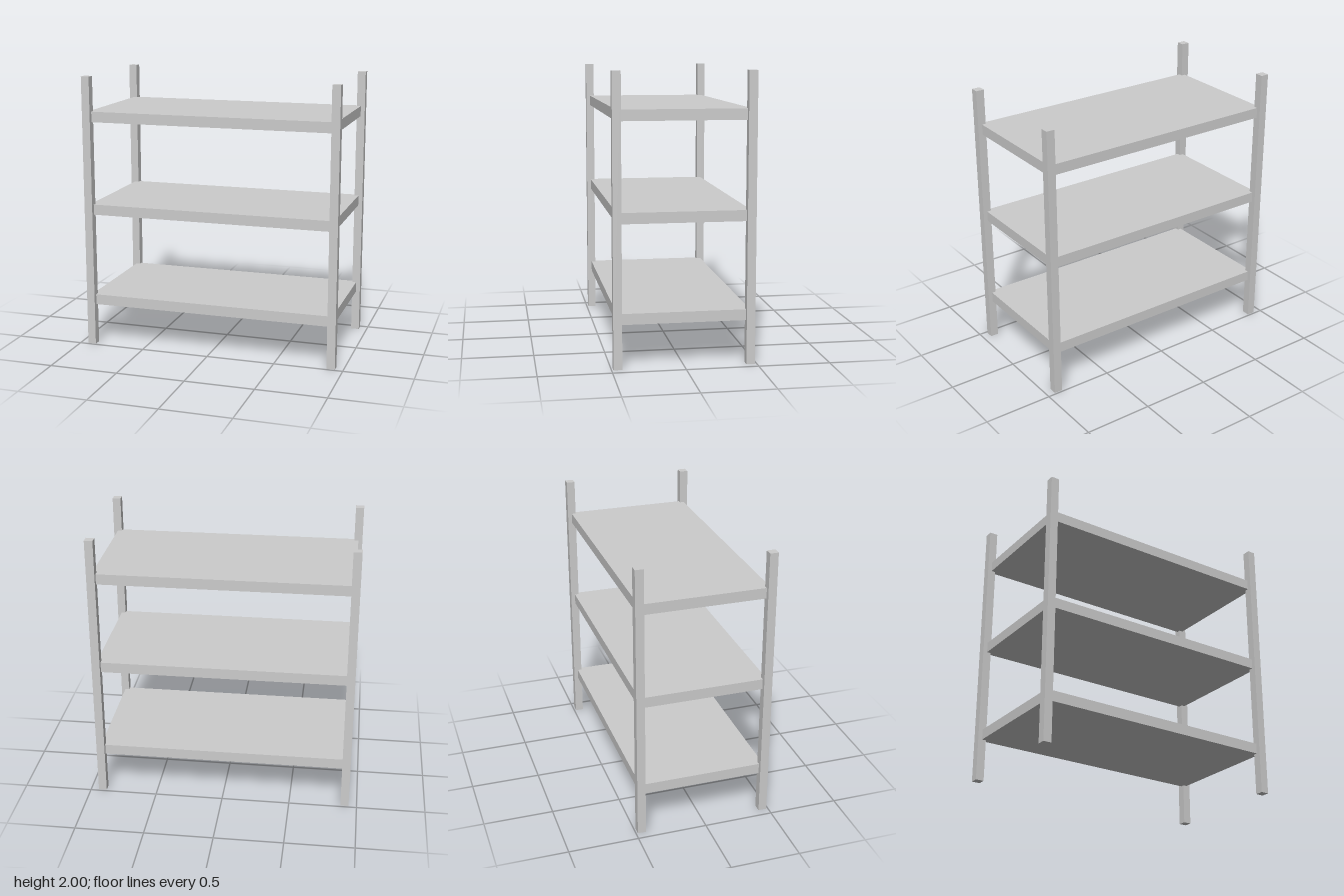
import * as THREE from 'three';

const POST_X = 0.911, POST_Z = 0.457, POST_SIZE = 0.06, HEIGHT = 2;
const SHELF_THICKNESS = 0.076;
const SHELF_HEIGHTS = { lowerShelf: 0.34, middleShelf: 1.025, upperShelf: 1.708 };

export function createModel() {
  const group = new THREE.Group();
  group.name = 'shelvingUnit';
  const material = new THREE.MeshStandardMaterial({ color: 0xcccccc });

  const addPart = (name, geometry, x, y, z) => {
    const mesh = new THREE.Mesh(geometry, material);
    mesh.name = name;
    mesh.position.set(x, y, z);
    group.add(mesh);
  };

  // Four square corner posts
  const post = new THREE.BoxGeometry(POST_SIZE, HEIGHT, POST_SIZE);
  for (const [side, sx] of [['Left', 1], ['Right', -1]]) {
    for (const [end, sz] of [['front', 1], ['back', -1]]) {
      addPart(`${end}${side}Post`, post, sx * POST_X, HEIGHT / 2, sz * POST_Z);
    }
  }

  // Three solid shelves, with corners reaching the post centres
  const shelf = new THREE.BoxGeometry(2 * POST_X, SHELF_THICKNESS, 2 * POST_Z);
  for (const [name, y] of Object.entries(SHELF_HEIGHTS)) addPart(name, shelf, 0, y, 0);

  return group;
}
